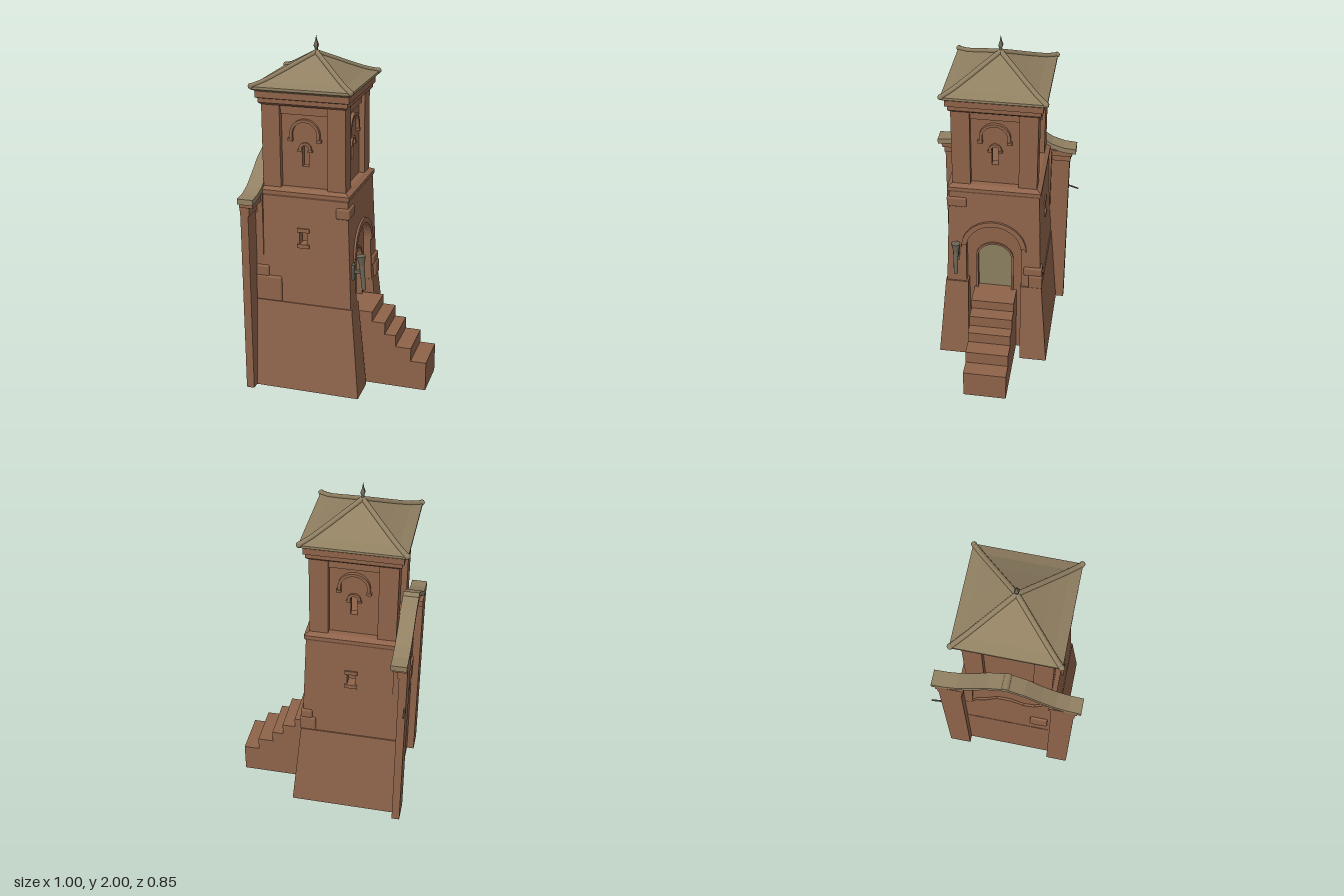
import * as THREE from 'three';
import { RoundedBoxGeometry } from 'three/addons/geometries/RoundedBoxGeometry.js';

const mat = (name, color) => Object.assign(new THREE.MeshStandardMaterial({ color }), { name });

export function createModel() {
  const stone = mat('brown stone', 0x8e634a);
  stone.side = THREE.DoubleSide; // the base is an open shell underneath
  const tile = mat('tan tile', 0x918062);
  const doorWood = mat('door wood', 0x8b7f61);
  const iron = mat('torch iron', 0x6f6858);

  const model = new THREE.Group();
  model.name = 'watchtower';
  const CX = -0.178, CZ = 0.01;

  const add = (parent, name, geo, material, x = 0, y = 0, z = 0) => {
    const m = new THREE.Mesh(geo, material);
    m.name = name;
    m.position.set(x, y, z);
    parent.add(m);
    return m;
  };
  const flat = (geo) => {
    const g = geo.index ? geo.toNonIndexed() : geo;
    g.computeVertexNormals();
    return g;
  };
  // drops the triangles lying on the ground
  const openBottom = (geo) => {
    const p = (geo.index ? geo.toNonIndexed() : geo).attributes.position.array, kept = [];
    for (let i = 0; i < p.length; i += 9)
      if (Math.max(p[i + 1], p[i + 4], p[i + 7]) > 0.001) kept.push(...p.slice(i, i + 9));
    return flat(new THREE.BufferGeometry().setAttribute('position', new THREE.Float32BufferAttribute(kept, 3)));
  };
  // box given by its limits
  const block = (parent, name, x0, x1, y0, y1, z0, z1, material = stone) =>
    add(parent, name, new THREE.BoxGeometry(x1 - x0, y1 - y0, z1 - z0), material,
      (x0 + x1) / 2, (y0 + y1) / 2, (z0 + z1) / 2);
  const roundBlock = (parent, name, x0, x1, y0, y1, z0, z1) =>
    add(parent, name, new RoundedBoxGeometry(x1 - x0, y1 - y0, z1 - z0, 2, 0.01), stone,
      (x0 + x1) / 2, (y0 + y1) / 2, (z0 + z1) / 2);
  // open shell whose top limits differ from its bottom limits: [x0, x1, z0, z1]
  const taper = (name, y1, b, t) => {
    const g = new THREE.BoxGeometry(1, 1, 1), p = g.attributes.position;
    for (let i = 0; i < p.count; i++) {
      const top = p.getY(i) > 0, r = top ? t : b;
      p.setXYZ(i, r[p.getX(i) > 0 ? 1 : 0], top ? y1 : 0, r[p.getZ(i) > 0 ? 3 : 2]);
    }
    return add(model, name, openBottom(g), stone);
  };
  // square stack from [half width, y] pairs, listed bottom to top
  const square = (name, prof, material) => {
    const g = new THREE.LatheGeometry(prof.map(([h, y]) => new THREE.Vector2(h * Math.SQRT2, y)), 4);
    g.rotateY(Math.PI / 4);
    return add(model, name, flat(g), material, CX, 0, CZ);
  };
  const poly = (pts) => new THREE.Shape(pts.map(([x, y]) => new THREE.Vector2(x, y)));
  const extrude = (shape, depth) =>
    new THREE.ExtrudeGeometry(shape, { depth, bevelEnabled: false, curveSegments: 12 });
  // arched outline added to the end of a wall's bottom edge, running right to left
  const archPath = (s, r, foot, spring) => {
    s.lineTo(r, foot);
    s.lineTo(r, spring);
    s.absarc(0, spring, r, 0, Math.PI, false);
    s.lineTo(-r, foot);
    return s;
  };
  const archRing = (ro, ri, foot, spring) => {
    const s = new THREE.Shape();
    s.moveTo(-ro, foot);
    s.lineTo(-ro, spring);
    s.absarc(0, spring, ro, Math.PI, 0, true);
    s.lineTo(ro, foot);
    return archPath(s, ri, foot, spring);
  };
  const archShape = (r, foot, spring, S = THREE.Shape) => {
    const s = new S();
    s.moveTo(-r, foot);
    return archPath(s, r, foot, spring);
  };
  // tower side k: 0 front, 1 left (+x), 2 back, 3 right (-x); local +z points outward
  const sides = [0, 1, 2, 3].map((k) => {
    const g = new THREE.Group();
    g.name = ['front', 'left', 'back', 'right'][k] + 'Side';
    g.position.set(CX, 0, CZ);
    g.rotation.y = k * Math.PI / 2;
    model.add(g);
    return g;
  });

  // battered base, with a notch for the stairs
  taper('baseCore', 0.53, [-0.458, 0.012, CZ - 0.327, CZ + 0.327], [-0.458, 0.012, CZ - 0.282, CZ + 0.282]);
  taper('baseButtress', 0.53, [0.012, 0.155, 0.157, CZ + 0.327], [0.012, 0.106, 0.16, CZ + 0.282]);
  taper('baseButtress', 0.53, [0.012, 0.155, CZ - 0.327, -0.157], [0.012, 0.106, CZ - 0.282, -0.147]);

  // stairs
  const stairs = [[0.02, 0], [0.5, 0]];
  const steps = [[0.5, 0.175], [0.41, 0.255], [0.32, 0.325], [0.255, 0.395], [0.18, 0.455], [0.02, 0.455]];
  steps.slice(0, -1).forEach(([x, y], i) => stairs.push([x, y], [steps[i + 1][0], y]));
  add(model, 'stairs', openBottom(extrude(poly(stairs), 0.25)), stone, 0, 0, -0.12);

  // middle storey: leaning walls
  const lean = (y) => 0.276 - 0.023 * (y - 0.53) / 0.62;
  const leaningWall = (parent, name, shape, depth, out) => {
    const g = extrude(shape, depth), p = g.attributes.position;
    for (let i = 0; i < p.count; i++) p.setZ(i, p.getZ(i) - depth + out + lean(p.getY(i)));
    return add(parent, name, flat(g), stone);
  };
  for (const k of [0, 2]) {
    const m = k ? -1 : 1; // the edge against the rear screen stays upright
    const s = poly([[-0.277 * m, 0.53], [0.275 * m, 0.53], [0.252 * m, 1.16], [-0.277 * m, 1.16]]);
    s.holes.push(new THREE.Path([[-0.022, 0.885], [-0.022, 0.957], [0.022, 0.957], [0.022, 0.885]]
      .map(([x, y]) => new THREE.Vector2(x, y))));
    leaningWall(sides[k], 'middleWall', s, 0.06, 0);
    for (const y of [0.865, 0.957])
      leaningWall(sides[k], 'windowLintel', poly([[-0.035, y], [0.035, y], [0.035, y + 0.022], [-0.035, y + 0.022]]), 0.02, 0.008);
  }
  const doorWall = archPath(poly([[-0.16, 0.53], [-0.275, 0.53], [-0.252, 1.16], [0.252, 1.16], [0.275, 0.53]]), 0.16, 0.53, 0.78);
  leaningWall(sides[1], 'doorwayWall', doorWall, 0.08, 0);
  leaningWall(sides[1], 'doorwayArch', archRing(0.188, 0.158, 0.8, 0.782), 0.03, 0.012);
  const inner = poly([[-0.18, 0], [0.18, 0], [0.18, 1], [-0.18, 1]]);
  inner.holes.push(archShape(0.098, 0.45, 0.688, THREE.Path));
  add(sides[1], 'doorSurround', extrude(inner, 0.036), stone, 0, 0, 0.19);
  add(sides[1], 'doorMoulding', extrude(archRing(0.11, 0.098, 0.45, 0.688), 0.01), stone, 0, 0, 0.225);
  add(sides[1], 'door', extrude(archShape(0.1, 0.45, 0.688), 0.009), doorWood, 0, 0, 0.191);
  square('middleLip', [[0, 1.13], [0.25, 1.13], [0.253, 1.15], [0.262, 1.165], [0.262, 1.185], [0.236, 1.2], [0, 1.2]], stone);

  // loose corner stones
  roundBlock(model, 'cornerStone', -0.455, -0.305, 0.53, 0.68, 0.2, 0.297);
  roundBlock(model, 'cornerStone', -0.455, -0.38, 0.675, 0.74, 0.2, 0.292);
  roundBlock(model, 'cornerStone', 0.01, 0.088, 1.055, 1.117, 0.165, 0.277);
  roundBlock(model, 'cornerStone', 0.02, 0.112, 0.53, 0.62, -0.275, -0.195);
  roundBlock(model, 'cornerStone', 0.04, 0.106, 0.615, 0.672, -0.272, -0.165);

  // upper storey: corner piers, recessed walls, arched slits
  for (const sx of [-1, 1]) for (const sz of [-1, 1]) {
    block(model, 'cornerPier', CX + sx * 0.185 - 0.051, CX + sx * 0.185 + 0.051, 1.19, 1.68,
      CZ + sz * 0.185 - 0.051, CZ + sz * 0.185 + 0.051);
  }
  sides.forEach((side, k) => {
    const s = poly([[-0.14, 1.19], [0.14, 1.19], [0.14, 1.67], [-0.14, 1.67]]);
    if (k < 3) {
      s.holes.push(archShape(0.018, 1.32, 1.42, THREE.Path));
      add(side, 'hoodArch', extrude(archRing(0.086, 0.07, 1.475, 1.5), 0.022), stone, 0, 0, 0.2);
      add(side, 'slitArch', extrude(archRing(0.036, 0.02, 1.41, 1.42), 0.015), stone, 0, 0, 0.2);
      for (const d of [-1, 1]) {
        block(side, 'hoodFoot', d * 0.081 - 0.013, d * 0.081 + 0.013, 1.462, 1.478, 0.2, 0.224);
        block(side, 'slitFoot', d * 0.029 - 0.012, d * 0.029 + 0.012, 1.403, 1.415, 0.2, 0.217);
      }
    }
    add(side, 'recessedWall', extrude(s, 0.04), stone, 0, 0, 0.163);
    block(side, 'recessHeader', -0.135, 0.135, 1.61, 1.67, 0.19, 0.218);
  });
  square('cornice', [[0, 1.66], [0.238, 1.66], [0.25, 1.672], [0.25, 1.695], [0.262, 1.7], [0.262, 1.735], [0, 1.735]], stone);

  // swept roof with hip tiles and finial
  const slope = [[0.281, 1.762], [0.225, 1.782], [0.15, 1.822], [0.07, 1.868], [0, 1.908]];
  square('roof', [[0, 1.735], [0.258, 1.735], [0.281, 1.748], ...slope], tile);
  for (const sx of [-1, 1]) for (const sz of [-1, 1]) {
    const pts = slope.map(([h, y]) => new THREE.Vector3(CX + sx * h, y, CZ + sz * h));
    add(model, 'hipTile', new THREE.TubeGeometry(new THREE.CatmullRomCurve3(pts), 12, 0.014, 8), tile);
    add(model, 'hipEnd', new THREE.SphereGeometry(0.016, 10, 8), tile, CX + sx * 0.276, 1.764, CZ + sz * 0.276);
  }
  square('finial', [[0, 1.9], [0.011, 1.9], [0.006, 1.925], [0.012, 1.945], [0.005, 1.97], [0, 2]], iron);

  // rear screen wall, recessed between pilasters, with gable and plaster; profiles run in z and y
  const along = (name, pts, x0, x1, material) => {
    const g = extrude(poly(pts.map(([z, y]) => [-z, y])), x1 - x0);
    g.rotateY(Math.PI / 2);
    return add(model, name, flat(g), material, x0, 0, CZ);
  };
  const half = [[0.412, 1.172], [0.34, 1.178], [0.27, 1.2], [0.19, 1.25], [0.1, 1.315], [0, 1.358]];
  const crest = [...half, ...half.slice(0, -1).reverse().map(([z, y]) => [-z, y])];
  const lowered = crest.map(([z, y]) => [z, y - 0.032]);
  along('screenWall', [[0.27, 0.5], ...lowered.slice(2, -2), [-0.27, 0.5]], -0.443, -0.412, stone);
  along('gableCoping', [...crest, ...lowered.slice().reverse()], -0.5, -0.412, tile);
  const ridge = add(model, 'ridgeTile', new THREE.CylinderGeometry(0.022, 0.022, 0.088, 10), tile, -0.456, 1.342, CZ);
  ridge.rotation.z = Math.PI / 2;
  along('brokenPlaster', [[-0.265, 0.53], [-0.265, 0.82], [-0.22, 0.82], [-0.18, 0.89], [-0.12, 0.93], [-0.06, 1.0],
    [0.02, 1.0], [0.09, 0.96], [0.15, 0.97], [0.2, 1.03], [0.265, 1.05], [0.265, 0.53]], -0.456, -0.44, stone);
  roundBlock(model, 'screenStone', -0.468, -0.44, 0.63, 0.76, 0.14, 0.24);
  for (const d of [-1, 1]) {
    const z = CZ + d * 0.312;
    block(model, 'pilaster', -0.5, -0.455, 0, 1.08, z - 0.063, z + 0.063);
    block(model, 'pilasterCap', -0.5, -0.447, 1.065, 1.12, z - 0.068, z + 0.068);
    block(model, 'pilasterCap', -0.5, -0.42, 1.115, 1.15, z - 0.078, z + 0.078);
  }
  const rod = add(model, 'ironRod', new THREE.CylinderGeometry(0.005, 0.005, 0.07, 6), iron, -0.495, 0.852, -0.39);
  rod.rotation.x = Math.PI / 2 - 0.3;

  // wall torch
  const torch = new THREE.Group();
  torch.name = 'torch';
  torch.position.set(0.147, 0.735, 0.222);
  torch.rotation.z = 0.09;
  model.add(torch);
  add(torch, 'torchCup', new THREE.CylinderGeometry(0.027, 0.015, 0.055, 8), iron, 0, 0.073, 0);
  add(torch, 'torchHandle', new THREE.CylinderGeometry(0.015, 0.012, 0.15, 8), iron, 0, -0.028, 0);
  block(model, 'torchBracket', 0.08, 0.15, 0.73, 0.748, 0.212, 0.232, iron);
  block(model, 'torchPlate', 0.085, 0.103, 0.69, 0.78, 0.207, 0.237, iron);

  return model;
}
